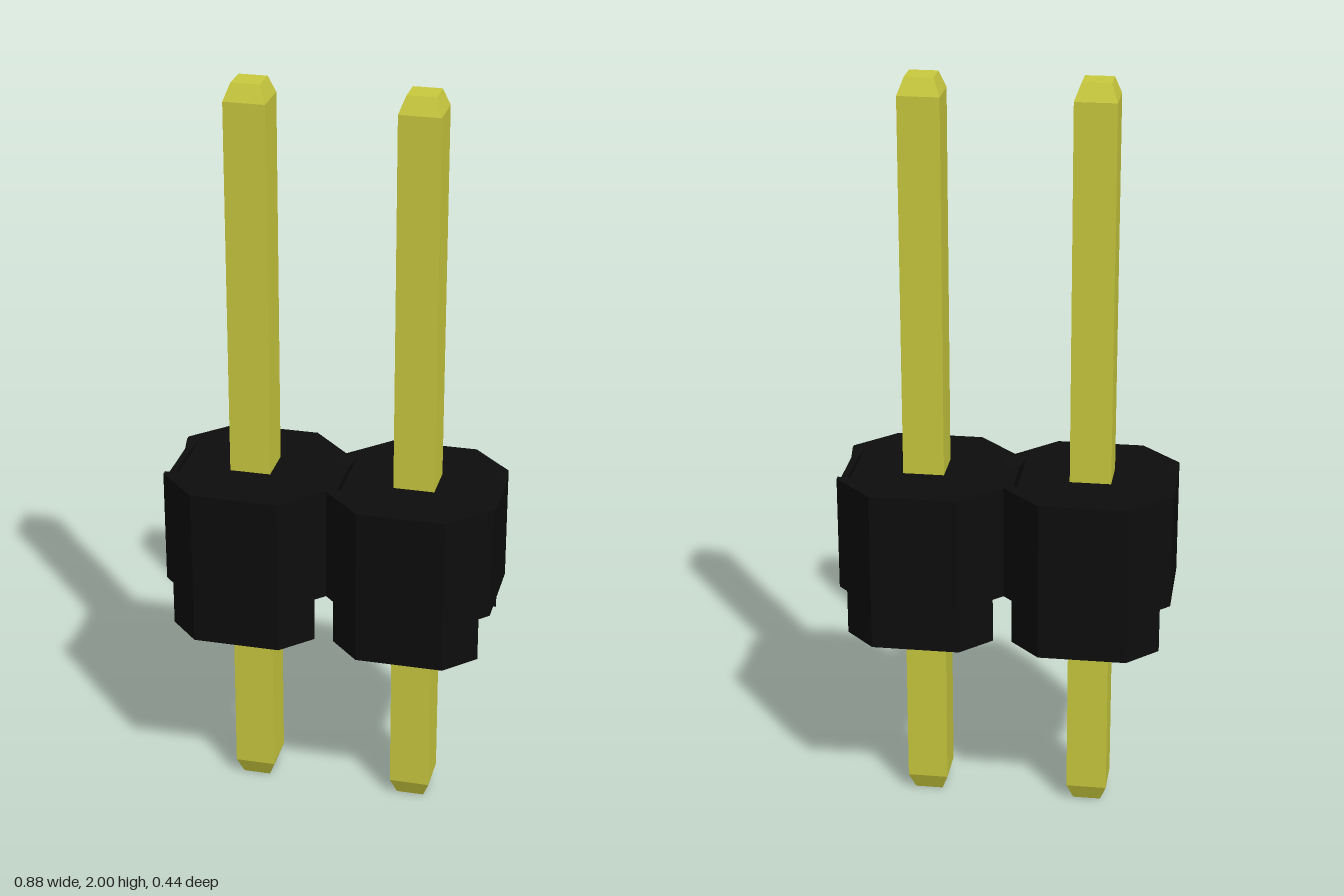
import * as THREE from 'three';

const PITCH = 0.219;  // pin offset from the centre, also half a housing cell
const CORNER = 0.115; // half length of each flat side of a cell
const FLOOR = 0.64, GROOVE = 0.93, TOP = 0.95, FOOT = 0.52;

const plastic = new THREE.MeshStandardMaterial({ color: 0x0d0d0d, flatShading: true });
const metal = new THREE.MeshStandardMaterial({ color: 0xcccc40, flatShading: true });

const toShape = (points) => new THREE.Shape(points.map(([x, z]) => new THREE.Vector2(x, z)));

// Plan shape raised from y0 to y1
function prism(shape, y0, y1) {
  const geometry = new THREE.ExtrudeGeometry(shape, { depth: y1 - y0, bevelEnabled: false });
  return geometry.rotateX(-Math.PI / 2).translate(0, y0, 0);
}

function addMesh(group, name, geometry, material) {
  const mesh = new THREE.Mesh(geometry, material);
  mesh.name = name;
  group.add(mesh);
  return mesh;
}

// Two joined octagons; optional notches cut into both end walls
function housingOutline(notched) {
  const W = 2 * PITCH, a = PITCH - CORNER, b = PITCH + CORNER, i = W - 0.035;
  const end = notched ? [[W, -0.1], [i, -0.1], [i, 0.1], [W, 0.1]] : [];
  const right = [[0, -CORNER], [a, -PITCH], [b, -PITCH], [W, -CORNER], ...end,
    [W, CORNER], [b, PITCH], [a, PITCH], [0, CORNER]];
  const left = right.slice(1, -1).map(([x, z]) => [-x, -z]);
  return toShape([...right, ...left]);
}

// Thin top layer with shallow grooves whose walls slope inwards
function rimGeometry() {
  const shape = housingOutline(true);
  shape.holes.push(toShape([[-0.035, -0.1], [-0.035, 0.1], [0.035, 0.1], [0.035, -0.1]]));
  const geometry = prism(shape, GROOVE, TOP);
  const p = geometry.attributes.position;
  for (let i = 0; i < p.count; i++) {
    const x = p.getX(i), z = p.getZ(i);
    if (p.getY(i) > GROOVE + 0.01 || Math.abs(Math.abs(z) - 0.1) > 0.002) continue;
    p.setZ(i, z * 0.8);
    if (Math.abs(x) < 0.1) p.setX(i, Math.sign(x) * 0.017);
    else if (Math.abs(x) < 0.42) p.setX(i, Math.sign(x) * 0.421);
  }
  geometry.computeVertexNormals();
  return geometry;
}

// Square pin with tapered tips
function pinGeometry() {
  const geometry = new THREE.BoxGeometry(0.108, 2, 0.108, 1, 3, 1);
  const p = geometry.attributes.position;
  for (let i = 0; i < p.count; i++) {
    const y = p.getY(i);
    if (Math.abs(y) > 0.9) {
      p.setX(i, Math.sign(p.getX(i)) * 0.037);
      p.setZ(i, Math.sign(p.getZ(i)) * 0.037);
    } else {
      p.setY(i, Math.sign(y) * 0.955);
    }
  }
  geometry.computeVertexNormals();
  return geometry.translate(0, 1, 0);
}

export function createModel() {
  const model = new THREE.Group();
  model.name = 'pinHeader';

  const housing = new THREE.Group();
  housing.name = 'housing';
  model.add(housing);
  addMesh(housing, 'housingBlock', prism(housingOutline(false), FLOOR, GROOVE), plastic);
  addMesh(housing, 'groovedTop', rimGeometry(), plastic);

  const pin = pinGeometry();
  for (const side of [-1, 1]) {
    const cell = side < 0 ? 'right' : 'left';
    addMesh(model, cell + 'Pin', pin, metal).position.x = side * PITCH;

    // Feet continue the chamfered front and back of each cell
    for (const face of [-1, 1]) {
      const inner = 0.14, wide = PITCH + CORNER - inner;
      const plan = toShape([[-wide, -face * inner], [wide, -face * inner],
        [CORNER, -face * PITCH], [-CORNER, -face * PITCH]]);
      const name = cell + (face > 0 ? 'FrontFoot' : 'BackFoot');
      addMesh(housing, name, prism(plan, FOOT, FLOOR), plastic).position.x = side * PITCH;
    }
  }
  return model;
}
